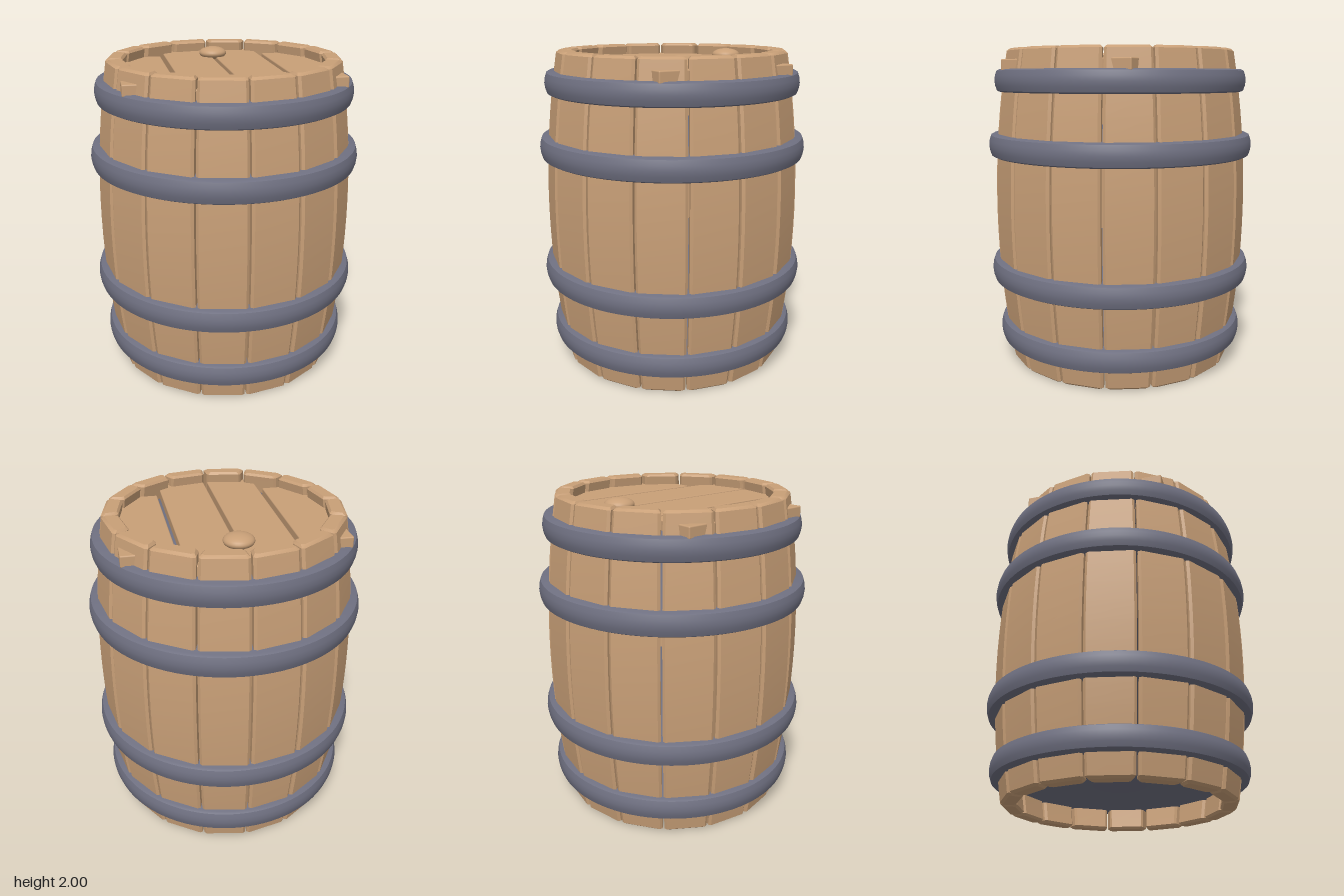
import * as THREE from 'three';
import { toCreasedNormals } from 'three/addons/utils/BufferGeometryUtils.js';
import { RoundedBoxGeometry } from 'three/addons/geometries/RoundedBoxGeometry.js';

const STAVES = 16;
const HALF = Math.PI / STAVES;

// Distance of a stave's outer face from the axis at height y
const bulge = (y) => 0.796 - 0.088 * (y - 1) ** 2;

// One bowed stave, facing +z: chamfered cross-sections joined along its height
function staveGeometry() {
  const bevel = 0.014, thick = 0.1;
  const rows = [[0, bevel]];
  for (let i = 0; i <= 16; i++) rows.push([bevel + (2 - 2 * bevel) * i / 16, 0]);
  rows.push([2, bevel]);

  const pos = [], index = [], n = 8;
  for (const [y, inset] of rows) {
    const zo = bulge(y) - inset, zi = bulge(y) - thick + inset;
    const wo = zo * Math.tan(HALF) - 0.008 - inset;
    const wi = zi * Math.tan(HALF) - 0.008 - inset;
    const b = bevel;
    const ring = [
      [-wo + b, zo], [-wo, zo - b], [-wi, zi + b], [-wi + b, zi],
      [wi - b, zi], [wi, zi + b], [wo, zo - b], [wo - b, zo],
    ];
    for (const [x, z] of ring) pos.push(x, y, z);
  }
  for (let r = 0; r < rows.length - 1; r++) {
    for (let i = 0; i < n; i++) {
      const a = r * n + i, b = r * n + (i + 1) % n;
      index.push(a, a + n, b, b, a + n, b + n);
    }
  }
  const top = (rows.length - 1) * n;
  for (let i = 1; i < n - 1; i++) {
    index.push(0, i, i + 1);
    index.push(top, top + i + 1, top + i);
  }
  const geo = new THREE.BufferGeometry();
  geo.setAttribute('position', new THREE.Float32BufferAttribute(pos, 3));
  geo.setIndex(index);
  // Make every face point outwards
  const p = geo.attributes.position, a = new THREE.Vector3(), b = new THREE.Vector3(), c = new THREE.Vector3();
  let volume = 0;
  for (let i = 0; i < index.length; i += 3) {
    a.fromBufferAttribute(p, index[i]);
    b.fromBufferAttribute(p, index[i + 1]);
    c.fromBufferAttribute(p, index[i + 2]);
    volume += a.dot(b.cross(c));
  }
  if (volume < 0) geo.setIndex(index.map((_, i) => index[i % 3 === 0 ? i : i % 3 === 1 ? i + 1 : i - 1]));
  return toCreasedNormals(geo, 0.5);
}

// Solid hoop with a softly swollen rim
function hoopGeometry(radius, height) {
  const h = height / 2;
  const profile = [
    [0, -h], [radius - 0.03, -h], [radius - 0.014, -h + 0.008], [radius - 0.004, -h * 0.45],
    [radius, 0], [radius - 0.004, h * 0.45], [radius - 0.014, h - 0.008], [radius - 0.03, h], [0, h],
  ].map(([x, y]) => new THREE.Vector2(x, y));
  return toCreasedNormals(new THREE.LatheGeometry(profile, 96), 0.6);
}

export function createModel() {
  const wood = new THREE.MeshStandardMaterial({ color: 0xc89f77 });
  wood.name = 'wood';
  const iron = new THREE.MeshStandardMaterial({ color: 0x6f7081 });
  iron.name = 'iron';

  const model = new THREE.Group();
  model.name = 'barrel';
  const add = (parent, name, geometry, material, x = 0, y = 0, z = 0) => {
    const mesh = new THREE.Mesh(geometry, material);
    mesh.name = name;
    mesh.position.set(x, y, z);
    parent.add(mesh);
    return mesh;
  };

  // Ring of staves
  const staves = new THREE.Group();
  staves.name = 'staves';
  model.add(staves);
  const stave = staveGeometry();
  for (let i = 0; i < STAVES; i++) {
    add(staves, 'stave', stave, wood).rotation.y = (2 * i + 1) * HALF;
  }

  // Hoops; the end ones also close the barrel
  const endHoop = hoopGeometry(0.8, 0.138);
  const middleHoop = hoopGeometry(0.845, 0.14);
  add(model, 'bottomHoop', endHoop, iron, 0, 0.203);
  add(model, 'lowerHoop', middleHoop, iron, 0, 0.605);
  add(model, 'upperHoop', middleHoop, iron, 0, 1.405);
  add(model, 'topHoop', endHoop, iron, 0, 1.805);

  // Lid planks; the corners of the outer ones poke out between the staves
  const lid = new THREE.Group();
  lid.name = 'lid';
  model.add(lid);
  for (const side of [-1, 1]) {
    add(lid, 'innerPlank', new RoundedBoxGeometry(0.306, 0.07, 1.28, 2, 0.008), wood, side * 0.165, 1.897, 0);
    add(lid, 'outerPlank', new RoundedBoxGeometry(0.306, 0.07, 0.89, 2, 0.008), wood, side * 0.5, 1.897, 0);
  }

  // Bung on the lid
  const bung = new THREE.SphereGeometry(0.09, 32, 16);
  bung.scale(1, 0.45, 1);
  add(lid, 'bung', bung, wood, 0, 1.952, -0.405);

  return model;
}
